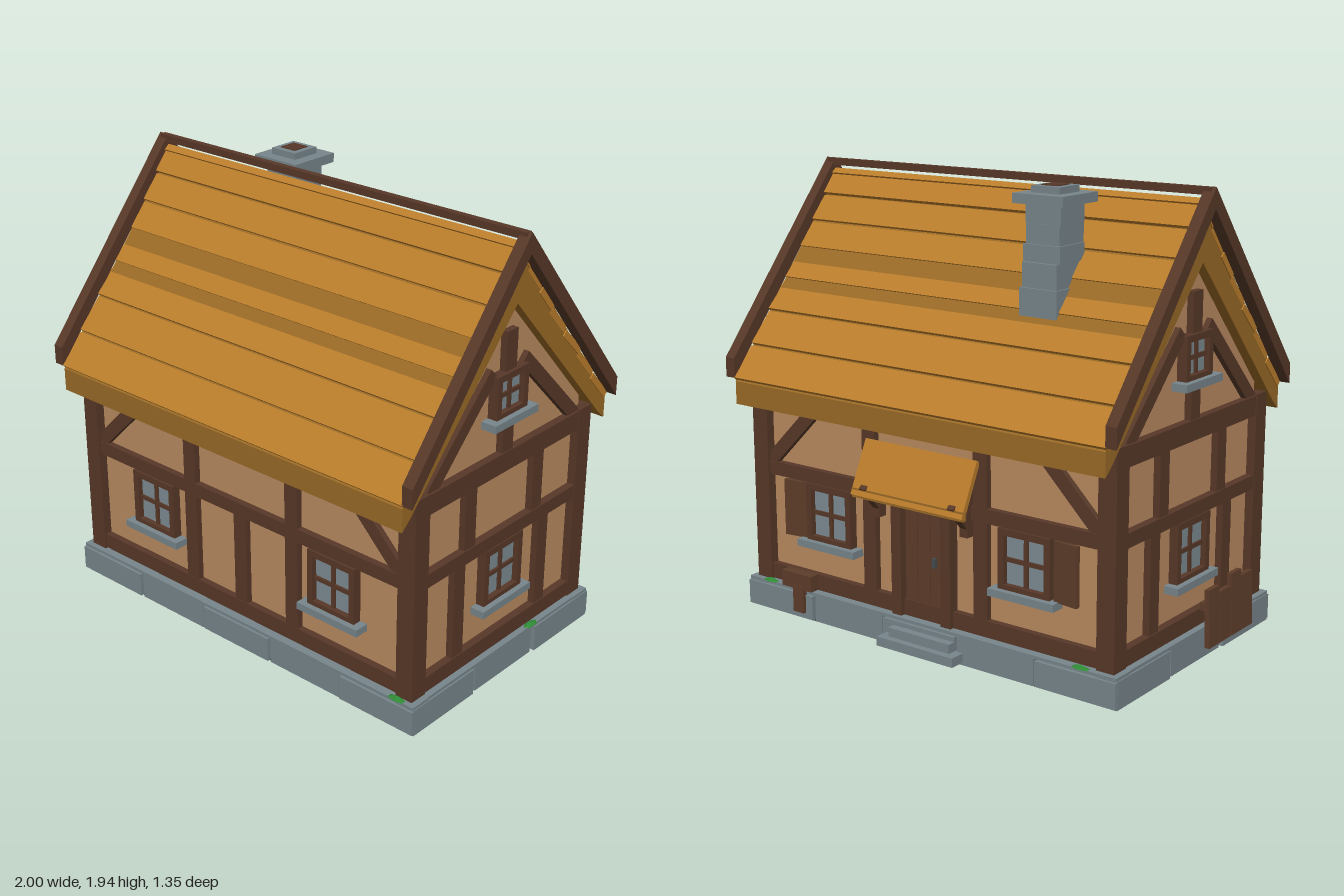
import * as THREE from 'three';

const mat = (color) => new THREE.MeshStandardMaterial({ color, flatShading: true });
const M = {
  plaster: mat(0xb98a60), timber: mat(0x573828), roof: mat(0xba7d2b), roofDark: mat(0x9a6a26),
  stone: mat(0x78868c), slab: mat(0x454c50), glass: mat(0x7d8c92), door: mat(0x5e3d2a), grass: mat(0x2f8a35),
};

// Box placed by its centre
function box(parent, name, m, w, h, d, x, y, z) {
  const b = new THREE.Mesh(new THREE.BoxGeometry(w, h, d), m);
  b.name = name;
  b.position.set(x, y, z);
  parent.add(b);
  return b;
}

// Flat beam on a wall, from one point to another
function beam(parent, x0, y0, x1, y1, width, z, depth = 0.06) {
  const len = Math.hypot(x1 - x0, y1 - y0);
  const b = box(parent, 'brace', M.timber, len, width, depth, (x0 + x1) / 2, (y0 + y1) / 2, z);
  b.rotation.z = Math.atan2(y1 - y0, x1 - x0);
}

// Profile in z and y, extruded along x
function prism(parent, name, m, pts, x0, x1) {
  const shape = new THREE.Shape(pts.map(([a, b]) => new THREE.Vector2(a, b)));
  const g = new THREE.ExtrudeGeometry(shape, { depth: x1 - x0, bevelEnabled: false });
  g.rotateY(Math.PI / 2).translate(x0, 0, 0);
  const mesh = new THREE.Mesh(g, m);
  mesh.name = name;
  parent.add(mesh);
}
const mirrored = (pts) => [...pts, ...pts.filter((p) => p[0] !== 0).reverse().map(([a, b]) => [-a, b])];

// Four-pane window with sill; z is the wall plane
function windowUnit(parent, x, y, w, h, sillW, z) {
  const g = new THREE.Group();
  g.name = 'window';
  g.position.set(x, y, z);
  parent.add(g);
  const t = 0.028;
  box(g, 'glass', M.glass, w - t, h - t, 0.02, 0, 0, 0.005);
  for (const s of [-1, 1]) {
    box(g, 'frameSide', M.timber, t, h, 0.05, s * (w - t) / 2, 0, 0.015);
    box(g, 'frameRail', M.timber, w, t, 0.05, 0, s * (h - t) / 2, 0.015);
  }
  box(g, 'muntin', M.timber, 0.018, h - t, 0.03, 0, 0, 0.01);
  box(g, 'muntin', M.timber, w - t, 0.018, 0.03, 0, 0, 0.01);
  box(g, 'sill', M.stone, sillW, 0.032, 0.08, 0, -h / 2 - 0.008, 0.025);
}

// Long wall: local +z points outward
function longWall(name, isBack) {
  const g = new THREE.Group();
  g.name = name;
  const z = 0.535;
  for (const [y0, y1] of [[0.14, 0.21], [0.62, 0.68], [0.94, 1.02]])
    box(g, 'rail', M.timber, 1.8, y1 - y0, 0.06, 0, (y0 + y1) / 2, z);
  for (const s of [-1, 1]) {
    box(g, 'post', M.timber, 0.068, 0.82, 0.056, s * 0.292, 0.58, z);
    beam(g, s * 0.88, 0.66, s * 0.58, 0.96, 0.06, z, 0.05);
    windowUnit(g, s * 0.515, 0.49, 0.25, 0.26, 0.32, z);
  }
  if (!isBack) box(g, 'post', M.timber, 0.068, 0.44, 0.056, 0, 0.42, z);
  return g;
}

// Gable wall: local +z points outward
function endWall(name) {
  const g = new THREE.Group();
  g.name = name;
  const z = 0.905;
  for (const [y0, y1] of [[0.14, 0.21], [0.62, 0.68], [0.94, 1.025]])
    box(g, 'rail', M.timber, y0 > 0.9 ? 1.16 : 1.06, y1 - y0, 0.07, 0, (y0 + y1) / 2, z);
  for (const s of [-1, 1]) {
    box(g, 'lowerPost', M.timber, 0.068, 0.42, 0.06, s * 0.28, 0.42, z);
    box(g, 'upperPost', M.timber, 0.068, 0.28, 0.06, s * 0.222, 0.81, z);
    beam(g, s * 0.49, 1.0, s * 0.1, 1.39, 0.06, z, 0.05);
  }
  box(g, 'kingPost', M.timber, 0.07, 0.15, 0.06, 0, 1.09, z);
  box(g, 'kingPost', M.timber, 0.07, 0.18, 0.06, 0, 1.45, z);
  windowUnit(g, 0, 0.49, 0.25, 0.26, 0.32, z);
  windowUnit(g, 0, 1.28, 0.2, 0.19, 0.28, z + 0.005);
  return g;
}

// Door, canopy, step and shutters, in the back wall's own frame
function entrance(g) {
  const z = 0.535;
  box(g, 'doorBacking', M.timber, 0.24, 0.5, 0.03, 0, 0.39, z);
  for (const i of [-1, 0, 1]) box(g, 'doorPlank', M.door, 0.062, 0.48, 0.03, i * 0.066, 0.39, z + 0.01);
  for (const s of [-1, 1]) box(g, 'doorPost', M.timber, 0.05, 0.54, 0.08, s * 0.13, 0.41, z + 0.01);
  box(g, 'doorLintel', M.timber, 0.31, 0.05, 0.08, 0, 0.66, z + 0.01);
  box(g, 'doorHandle', M.slab, 0.018, 0.04, 0.02, 0.06, 0.4, z + 0.03);
  const roof = box(g, 'canopy', M.roof, 0.58, 0.24, 0.022, 0, 0.762, 0.618);
  roof.rotation.x = -0.44;
  box(g, 'canopyEdge', M.roofDark, 0.58, 0.04, 0.02, 0, 0.665, 0.66);
  for (const s of [-1, 1]) {
    box(g, 'canopyPost', M.timber, 0.04, 0.22, 0.04, s * 0.23, 0.66, 0.57);
    const strut = box(g, 'canopyBracket', M.timber, 0.035, 0.15, 0.03, s * 0.23, 0.64, 0.615);
    strut.rotation.x = 0.7;
    const shutter = box(g, 'shutter', M.door, 0.115, 0.25, 0.02, s * 0.71, 0.49, z + 0.025);
    shutter.rotation.y = -s * 0.12;
  }
  box(g, 'lowerStep', M.stone, 0.4, 0.04, 0.1, 0.03, 0.04, 0.62);
  box(g, 'upperStep', M.stone, 0.32, 0.04, 0.06, 0.03, 0.08, 0.61);
  // Small timber trough below one window
  box(g, 'trough', M.door, 0.17, 0.07, 0.05, -0.67, 0.18, 0.595);
  box(g, 'troughLeg', M.door, 0.06, 0.12, 0.025, -0.66, 0.1, 0.61);
}

function foundation() {
  const g = new THREE.Group();
  g.name = 'foundation';
  box(g, 'baseSlab', M.slab, 1.9, 0.13, 1.17, 0, 0.067, 0);
  const dz = [0.608, 0.6, 0.606, 0.598, 0.607];
  for (const s of [-1, 1]) {
    for (let i = 0; i < 5; i++)
      box(g, 'longStone', M.stone, 0.38, 0.108 + (i % 2) * 0.008, 0.1, (i - 2) * 0.391, 0.066, s * (dz[i] - 0.05));
    for (let i = -1; i <= 1; i++)
      box(g, 'endStone', M.stone, 0.1, 0.118, 0.385, s * (0.924 - (i === 0 ? 0.008 : 0)), 0.066, i * 0.405);
    box(g, 'capLong', M.stone, 1.94, 0.014, 0.1, 0, 0.131, s * 0.55);
    box(g, 'capEnd', M.stone, 0.1, 0.014, 1.2, s * 0.917, 0.131, 0);
  }
  return g;
}

function roof() {
  const g = new THREE.Group();
  g.name = 'roof';
  prism(g, 'roofBody', M.roofDark, mirrored([[0, 1.87], [0.665, 1.04], [0.665, 0.94], [0.62, 0.98], [0, 1.65]]).reverse(), -0.95, 0.95);
  for (const s of [-1, 1])
    prism(g, 'rakeBoard', M.timber, mirrored([[0, 1.945], [0.67, 1.14], [0.67, 1.055], [0, 1.86]]).reverse(), s * 0.975 - 0.025, s * 0.975 + 0.025);
  box(g, 'ridgeBoard', M.timber, 1.97, 0.03, 0.03, 0, 1.928, 0);
  // Lapped boards, lower edges first
  const rows = [[0.67, 1.06], [0.56, 1.195], [0.45, 1.33], [0.34, 1.455], [0.24, 1.58], [0.16, 1.69], [0.08, 1.8], [0, 1.915]];
  for (const s of [-1, 1])
    for (let i = 0; i < 7; i++) {
      const [z0, y0] = rows[i];
      const [z1, y1] = [rows[i + 1][0], rows[i + 1][1] - 0.018];
      const len = Math.hypot(z1 - z0, y1 - y0) + 0.006;
      const tilt = Math.atan2(y1 - y0, z0 - z1);
      const b = box(g, 'roofBoard', M.roof, 1.91 - (i % 2) * 0.008, 0.03, len, 0,
        (y0 + y1) / 2 - 0.015 * Math.cos(tilt), s * ((z0 + z1) / 2 - 0.015 * Math.sin(tilt)));
      b.rotation.x = s * tilt;
    }
  return g;
}

function chimney() {
  const g = new THREE.Group();
  g.name = 'chimney';
  g.position.set(-0.42, 0, -0.24);
  // Courses: bottom, top, width, depth, z shift
  for (const [y0, y1, w, d, dz] of [[1.4, 1.54, 0.18, 0.19, -0.02], [1.54, 1.64, 0.165, 0.18, -0.015], [1.64, 1.71, 0.175, 0.17, -0.006], [1.71, 1.79, 0.16, 0.165, 0], [1.79, 1.87, 0.168, 0.16, 0]])
    box(g, 'shaftCourse', M.stone, w, y1 - y0, d, 0, (y0 + y1) / 2, dz);
  box(g, 'cap', M.stone, 0.24, 0.04, 0.24, 0, 1.888, 0);
  box(g, 'flueCollar', M.stone, 0.135, 0.032, 0.135, 0, 1.92, 0);
  box(g, 'flue', M.timber, 0.08, 0.01, 0.08, 0, 1.935, 0);
  return g;
}

export function createModel() {
  const house = new THREE.Group();
  house.name = 'house';
  house.add(foundation(), roof(), chimney());
  prism(house, 'plasterWalls', M.plaster, mirrored([[0, 1.71], [0.535, 1.13], [0.535, 0.1]]).reverse(), -0.905, 0.905);

  // Timbered walls
  const back = longWall('backWall', true);
  entrance(back);
  back.rotation.y = Math.PI;
  const left = endWall('leftWall');
  left.rotation.y = Math.PI / 2;
  const right = endWall('rightWall');
  right.rotation.y = -Math.PI / 2;
  house.add(longWall('frontWall', false), back, left, right);
  for (const sx of [-1, 1])
    for (const sz of [-1, 1])
      box(house, 'cornerPost', M.timber, 0.083, 0.9, 0.085, sx * 0.902, 0.58, sz * 0.533);

  // Boards leaning on the right wall
  [0.25, 0.22, 0.27, 0.24].forEach((h, i) => {
    const b = box(house, 'leaningBoard', M.door, 0.022, h, 0.085, -0.982, 0.05 + h / 2, 0.1 + i * 0.092);
    b.rotation.z = -0.04;
  });
  box(house, 'boardBatten', M.door, 0.05, 0.035, 0.34, -0.965, 0.22, 0.24);

  // Grass patches on the foundation edge
  for (const [x, z] of [[0.88, 0.59], [0.955, -0.2], [0.85, -0.59], [-0.8, -0.59]]) {
    const tuft = new THREE.Mesh(new THREE.ConeGeometry(0.05, 0.016, 6), M.grass);
    tuft.name = 'grassTuft';
    tuft.scale.set(Math.abs(x) > 0.9 ? 0.4 : 1, 1, Math.abs(x) > 0.9 ? 1 : 0.4);
    tuft.position.set(x, 0.144, z);
    house.add(tuft);
  }
  return house;
}
